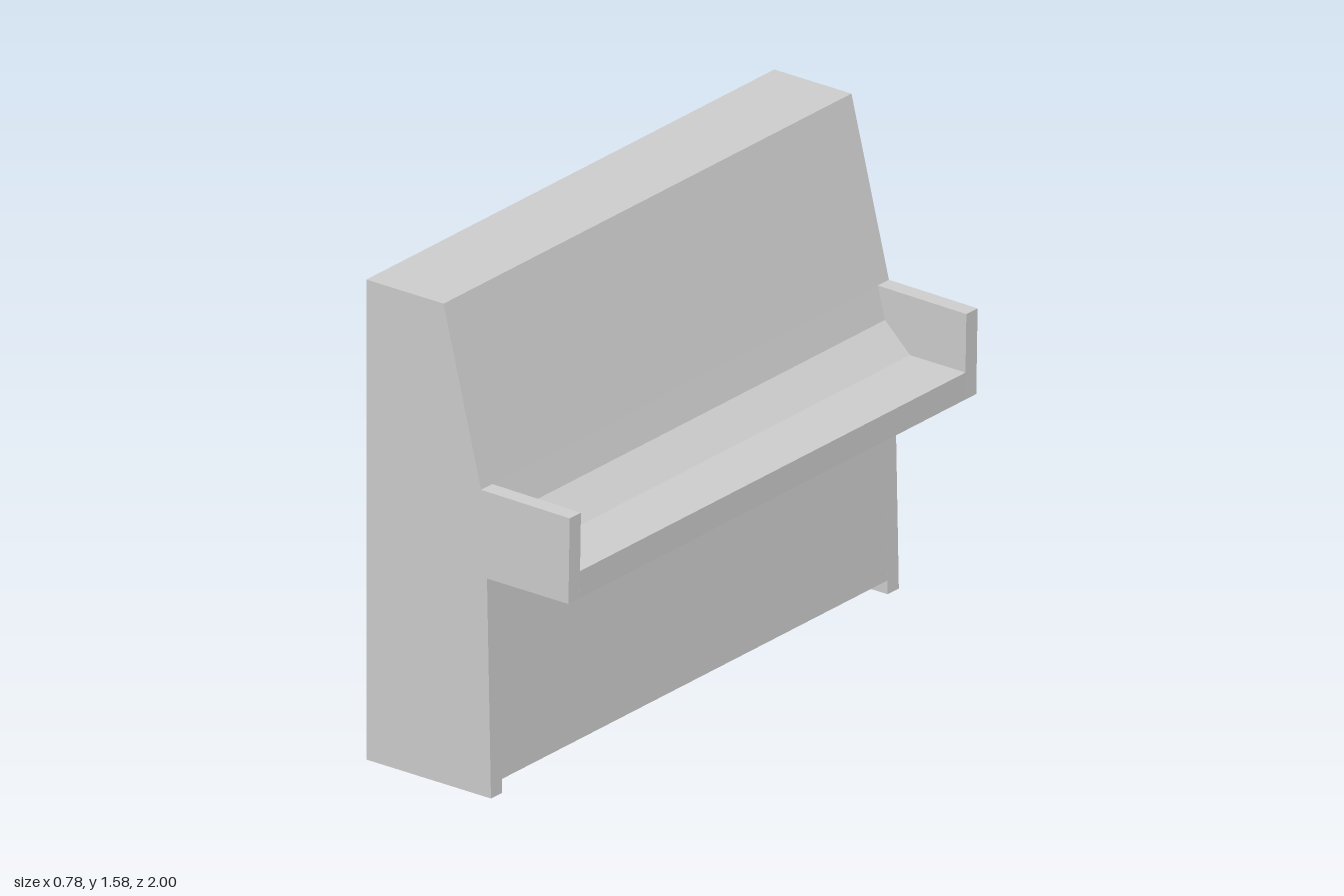
import * as THREE from 'three';

const HALF_WIDTH = 1;
const CHEEK = 0.055; // thickness of the end panels

// Extrudes an x/y profile between two z positions
function slab(name, points, z0, z1, material) {
  const shape = new THREE.Shape(points.map(([x, y]) => new THREE.Vector2(x, y)));
  const geometry = new THREE.ExtrudeGeometry(shape, { depth: z1 - z0, bevelEnabled: false });
  geometry.translate(0, 0, z0);
  const mesh = new THREE.Mesh(geometry, material);
  mesh.name = name;
  return mesh;
}

export function createModel() {
  const piano = new THREE.Group();
  piano.name = 'uprightPiano';

  const grey = new THREE.MeshStandardMaterial({ color: 0xcccccc });
  grey.name = 'light grey';

  // End panels: full silhouette with raised key cheeks and feet
  const cheekProfile = [
    [-0.39, 0], [0.086, 0], [0.071, 0.72], [0.382, 0.72], [0.387, 1.003],
    [0.048, 1.006], [-0.095, 1.58], [-0.39, 1.58],
  ];

  // Case between the ends: raised bottom, recessed keybed and sloping fallboard
  const caseProfile = [
    [-0.39, 0.045], [0.085, 0.045], [0.071, 0.72], [0.382, 0.72], [0.384, 0.81],
    [0.172, 0.81], [0.076, 0.9], [0.048, 1.006], [-0.095, 1.58], [-0.39, 1.58],
  ];

  const inner = HALF_WIDTH - CHEEK;
  piano.add(
    slab('case', caseProfile, -inner, inner, grey),
    slab('frontEndPanel', cheekProfile, inner, HALF_WIDTH, grey),
    slab('backEndPanel', cheekProfile, -HALF_WIDTH, -inner, grey),
  );
  return piano;
}
